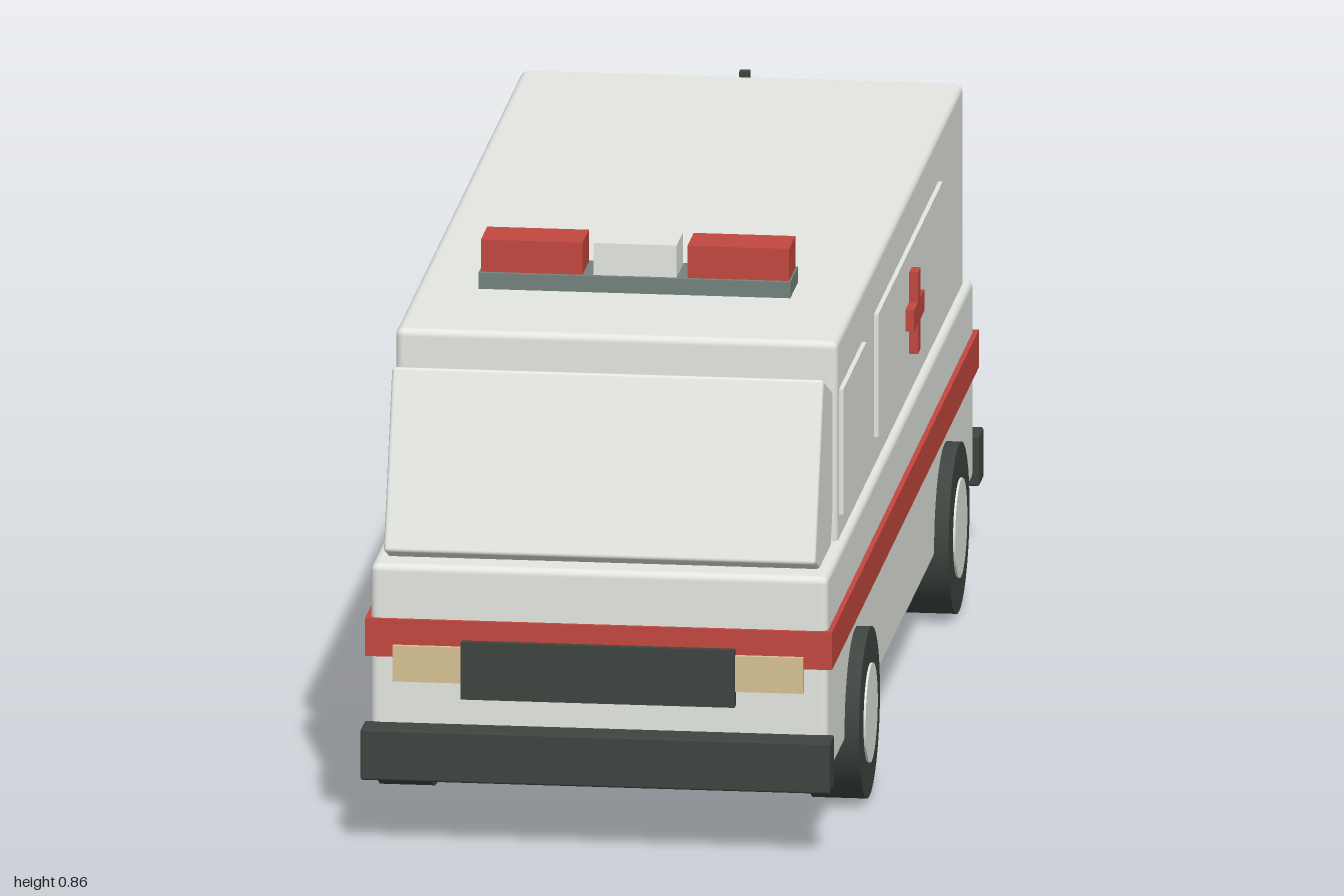
import * as THREE from 'three';
import { RoundedBoxGeometry } from 'three/addons/geometries/RoundedBoxGeometry.js';

const mat = (name, color) => {
  const m = new THREE.MeshStandardMaterial({ color });
  m.name = name;
  return m;
};

export function createModel() {
  const white = mat('white', 0xe4e7e1);
  const red = mat('red', 0xc2483f);
  const dark = mat('dark rubber', 0x3e4440);
  const tan = mat('headlight cream', 0xd8c292);
  const grey = mat('grey green', 0x74827c);

  const van = new THREE.Group();
  van.name = 'ambulance';

  const add = (name, geometry, material, parent = van) => {
    const mesh = new THREE.Mesh(geometry, material);
    mesh.name = name;
    parent.add(mesh);
    return mesh;
  };
  // Box given by its extents on each axis; r > 0 rounds the edges
  const box = (name, material, [x0, x1], [y0, y1], [z0, z1], r = 0, parent = van) => {
    const s = [x1 - x0, y1 - y0, z1 - z0];
    const g = r ? new RoundedBoxGeometry(...s, 2, r) : new THREE.BoxGeometry(...s);
    const mesh = add(name, g, material, parent);
    mesh.position.set((x0 + x1) / 2, (y0 + y1) / 2, (z0 + z1) / 2);
    return mesh;
  };

  // Body shells
  box('lowerBody', white, [-0.362, 0.362], [0.118, 0.446], [-0.947, 0.95], 0.012);
  box('upperBody', white, [-0.35, 0.35], [0.43, 0.77], [-0.917, 0.724], 0.012);

  // Raked windscreen block
  const screen = add('windscreen', new RoundedBoxGeometry(0.684, 0.294, 0.2, 2, 0.006), white);
  screen.position.set(0, 0.564, 0.797);
  screen.rotation.x = -0.383;

  // Stripe round the body and the two bumpers
  box('stripe', red, [-0.37, 0.37], [0.298, 0.359], [-0.956, 0.957]);
  box('frontBumper', dark, [-0.372, 0.372], [0.107, 0.19], [0.943, 1], 0.004);
  box('rearBumper', dark, [-0.372, 0.372], [0.107, 0.19], [-1, -0.943], 0.004);

  // Front and rear fittings
  box('grille', dark, [-0.217, 0.217], [0.235, 0.328], [0.94, 0.969]);
  box('rearWindow', white, [-0.275, 0.275], [0.487, 0.697], [-0.93, -0.91]);
  box('rearDoorBar', dark, [-0.008, 0.008], [0.15, 0.77], [-0.954, -0.938]);

  // Red cross outline, extruded along x
  const a = 0.0175, b = 0.066;
  const cross = new THREE.Shape([
    [a, a], [a, b], [-a, b], [-a, a], [-b, a], [-b, -a],
    [-a, -a], [-a, -b], [a, -b], [a, -a], [b, -a], [b, a],
  ].map(([x, y]) => new THREE.Vector2(x, y)));
  const crossGeo = new THREE.ExtrudeGeometry(cross, { depth: 0.018, bevelEnabled: false });
  crossGeo.translate(0, 0, -0.009).rotateY(Math.PI / 2);

  const tyreGeo = new THREE.CylinderGeometry(0.136, 0.136, 0.085, 36).rotateZ(Math.PI / 2);
  const hubGeo = new THREE.CylinderGeometry(0.079, 0.079, 0.03, 36).rotateZ(Math.PI / 2);

  // Mirrored parts
  for (const [side, s] of [['left', 1], ['right', -1]]) {
    const span = (p, q) => (s > 0 ? [p, q] : [-q, -p]);
    box(side + 'CabWindow', white, span(0.34, 0.357), [0.485, 0.688], [0.403, 0.702]);
    box(side + 'SidePanel', white, span(0.34, 0.357), [0.494, 0.693], [-0.59, 0.248]);
    add(side + 'Cross', crossGeo, red).position.set(s * 0.362, 0.592, -0.17);
    box(side + 'Headlight', tan, span(0.21, 0.325), [0.26, 0.318], [0.94, 0.965]);
    box(side + 'TailLight', red, span(0.247, 0.292), [0.185, 0.335], [-0.966, -0.94]);
    for (const [end, z] of [['Front', 0.592], ['Rear', -0.573]]) {
      const wheel = new THREE.Group();
      wheel.name = side + end + 'Wheel';
      wheel.position.set(s * 0.3425, 0.136, z);
      van.add(wheel);
      add('tyre', tyreGeo, dark, wheel);
      add('hub', hubGeo, white, wheel).position.x = s * 0.031;
    }
  }

  // Roof light bar
  const bar = new THREE.Group();
  bar.name = 'lightBar';
  van.add(bar);
  box('barBase', grey, [-0.247, 0.247], [0.778, 0.804], [0.391, 0.49], 0, bar);
  box('rightBeacon', red, [-0.244, -0.083], [0.804, 0.856], [0.4, 0.482], 0, bar);
  box('leftBeacon', red, [0.083, 0.244], [0.804, 0.856], [0.4, 0.482], 0, bar);
  box('centreLamp', white, [-0.066, 0.066], [0.804, 0.856], [0.4, 0.482], 0, bar);

  return van;
}
